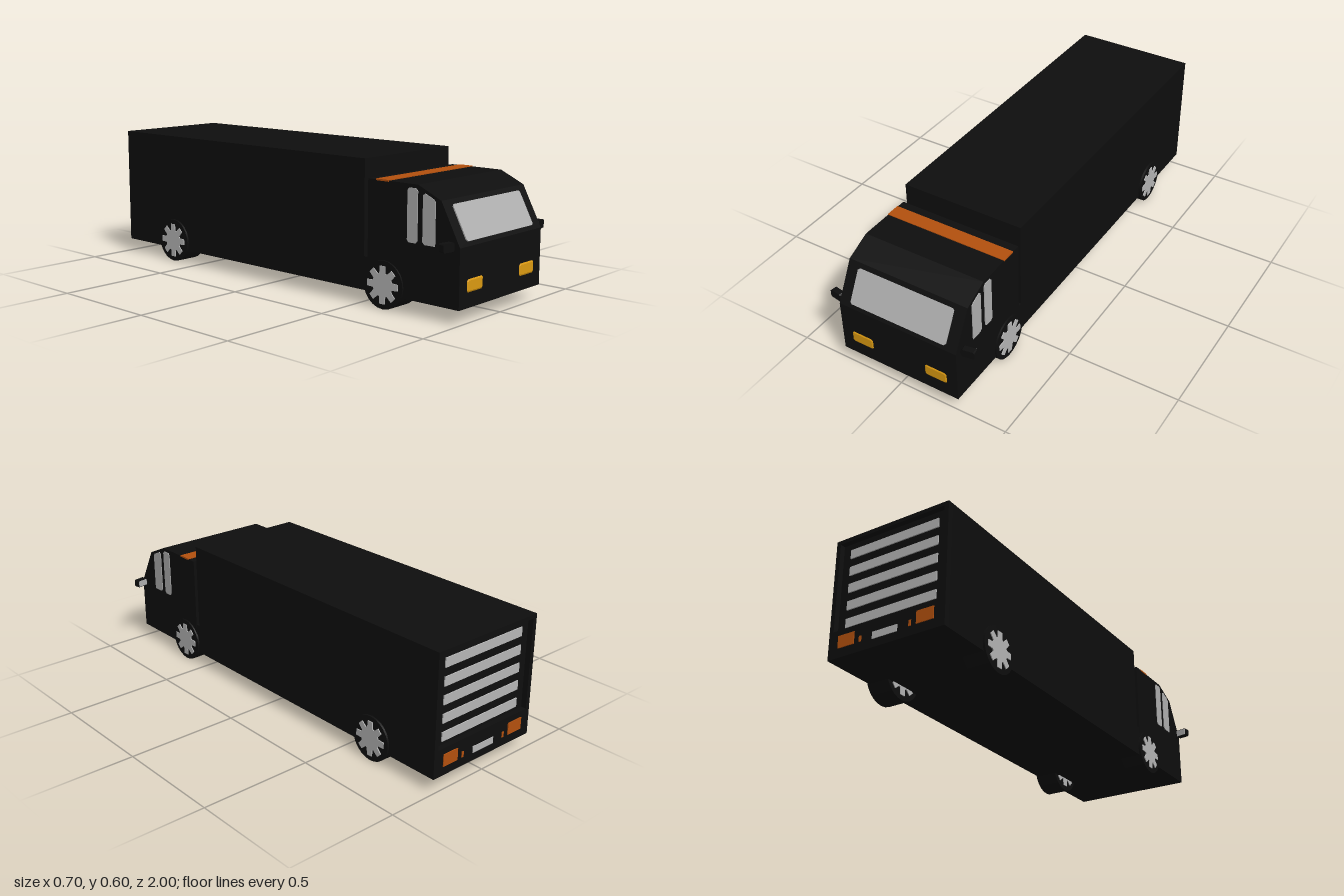
import * as THREE from 'three';

const paint = (name, color) => new THREE.MeshStandardMaterial({ name, color });

export function createModel() {
  const truck = new THREE.Group();
  truck.name = 'boxTruck';
  const black = paint('black body', 0x0e0e0e);
  const glass = paint('grey glass', 0xb0b0b0);
  const metal = paint('light metal', 0xb6b6b6);
  const amber = paint('amber lamp', 0xdc9a12);
  const orange = paint('orange trim', 0xb3500e);

  const add = (name, geometry, material, parent = truck) => {
    const mesh = new THREE.Mesh(geometry, material);
    mesh.name = name;
    parent.add(mesh);
    return mesh;
  };
  // Box given by its limits on each axis
  const box = (name, [x0, x1], [y0, y1], [z0, z1], material, parent) => {
    const g = new THREE.BoxGeometry(x1 - x0, y1 - y0, z1 - z0);
    g.translate((x0 + x1) / 2, (y0 + y1) / 2, (z0 + z1) / 2);
    return add(name, g, material, parent);
  };
  // Side outline of [z, y] points, extruded across from x0 to x1
  const across = (name, points, x0, x1, material, parent) => {
    const shape = new THREE.Shape(points.map(([z, y]) => new THREE.Vector2(z, y)));
    const g = new THREE.ExtrudeGeometry(shape, { depth: x1 - x0, bevelEnabled: false });
    g.rotateY(-Math.PI / 2).translate(x1, 0, 0);
    return add(name, g, material, parent);
  };
  // Rectangle with cut corners
  const cutRect = (w, h, c) => new THREE.Shape([
    [-w + c, -h], [w - c, -h], [w, -h + c], [w, h - c],
    [w - c, h], [-w + c, h], [-w, h - c], [-w, -h + c],
  ].map(([x, y]) => new THREE.Vector2(x, y)));

  // Cab and the low link to the cargo box
  across('cab', [[0.55, 0.06], [1, 0.06], [1, 0.3], [0.91, 0.47], [0.8, 0.52], [0.55, 0.52]],
    -0.282, 0.282, black);
  box('chassisLink', [-0.28, 0.28], [0.06, 0.2], [0.52, 0.56], black);
  box('roofStripe', [-0.283, 0.283], [0.516, 0.523], [0.59, 0.655], orange);

  // Windscreen lying on the sloped front
  const screen = add('windscreen', new THREE.ExtrudeGeometry(cutRect(0.23, 0.076, 0.008),
    { depth: 0.006, bevelEnabled: false }), glass);
  screen.position.set(0, 0.383, 0.955);
  screen.rotation.x = -Math.atan2(0.09, 0.17);

  // Cargo box with a recessed rear door
  box('cargoBox', [-0.28, 0.28], [0.06, 0.597], [-0.972, 0.53], black);
  const frame = new THREE.Shape([[-0.28, 0.06], [0.28, 0.06], [0.28, 0.597], [-0.28, 0.597]]
    .map(([x, y]) => new THREE.Vector2(x, y)));
  frame.holes.push(new THREE.Path([[-0.26, 0.18], [-0.26, 0.58], [0.26, 0.58], [0.26, 0.18]]
    .map(([x, y]) => new THREE.Vector2(x, y))));
  const rearFrame = new THREE.ExtrudeGeometry(frame, { depth: 0.024, bevelEnabled: false });
  add('rearFrame', rearFrame.translate(0, 0, -0.996), black);
  for (let i = 0; i < 5; i++) {
    const y = 0.53 - i * 0.0785;
    box('doorSlat', [-0.22, 0.22], [y - 0.02, y + 0.02], [-0.977, -0.97], metal);
  }
  box('numberPlate', [-0.06, 0.06], [0.095, 0.125], [-0.999, -0.994], metal);

  for (const s of [-1, 1]) {
    const side = new THREE.Group();
    side.name = s > 0 ? 'leftSide' : 'rightSide';
    truck.add(side);
    const span = (a, b) => (s > 0 ? [a, b] : [-b, -a]);

    // Side windows
    const windowSpan = span(0.279, 0.285);
    across('frontQuarterWindow', [[0.825, 0.3], [0.835, 0.29], [0.885, 0.29], [0.885, 0.462],
      [0.875, 0.472], [0.835, 0.49], [0.825, 0.482]], ...windowSpan, glass, side);
    across('doorWindow', [[0.75, 0.3], [0.758, 0.29], [0.792, 0.29], [0.8, 0.3],
      [0.8, 0.495], [0.792, 0.505], [0.758, 0.505], [0.75, 0.495]], ...windowSpan, glass, side);

    // Headlights and rear lamps
    const lamp = add('headlight', new THREE.ExtrudeGeometry(cutRect(0.046, 0.02, 0.004), {
      depth: 0.004, bevelThickness: 0.004, bevelSize: 0.008, bevelSegments: 1,
    }), amber, side);
    lamp.position.set(s * 0.18, 0.147, 0.995);
    box('tailLight', span(0.15, 0.23), [0.1, 0.153], [-1, -0.994], orange, side);
    box('rearMarker', span(0.114, 0.125), [0.1, 0.125], [-0.999, -0.994], orange, side);

    // Mirror on a slanted arm, with glass facing back
    const arm = new THREE.LineCurve3(new THREE.Vector3(s * 0.278, 0.282, 0.962),
      new THREE.Vector3(s * 0.297, 0.31, 0.965));
    add('mirrorArm', new THREE.TubeGeometry(arm, 1, 0.007, 6), black, side);
    const mirror = new THREE.Group();
    mirror.name = 'mirror';
    mirror.position.set(s * 0.319, 0.305, 0.965);
    mirror.rotation.y = s * 0.17;
    side.add(mirror);
    const housing = new THREE.ExtrudeGeometry(cutRect(0.028, 0.0175, 0.005),
      { depth: 0.026, bevelEnabled: false });
    add('mirrorHousing', housing.translate(0, 0, -0.013), black, mirror);
    box('mirrorGlass', [-0.024, 0.024], [-0.014, 0.014], [-0.016, -0.012], glass, mirror);

    // Wheels: plain tyre with an eight-pointed rim through it
    for (const z of [0.635, -0.655]) {
      const wheel = new THREE.Group();
      wheel.name = z > 0 ? 'frontWheel' : 'rearWheel';
      wheel.position.set(s * 0.236, 0.1, z);
      side.add(wheel);
      const tyre = new THREE.CylinderGeometry(0.1, 0.1, 0.106, 24);
      add('tyre', tyre.rotateZ(Math.PI / 2), black, wheel);
      const star = [];
      for (let i = 0; i < 8; i++) {
        const a = (i * Math.PI) / 4;
        for (const [r, d] of [[0.05, -0.3], [0.079, -0.17], [0.079, 0.17], [0.05, 0.3]]) {
          star.push([r * Math.cos(a + d), r * Math.sin(a + d)]);
        }
      }
      across('rim', star, -0.057, 0.057, metal, wheel);
    }
  }
  return truck;
}
